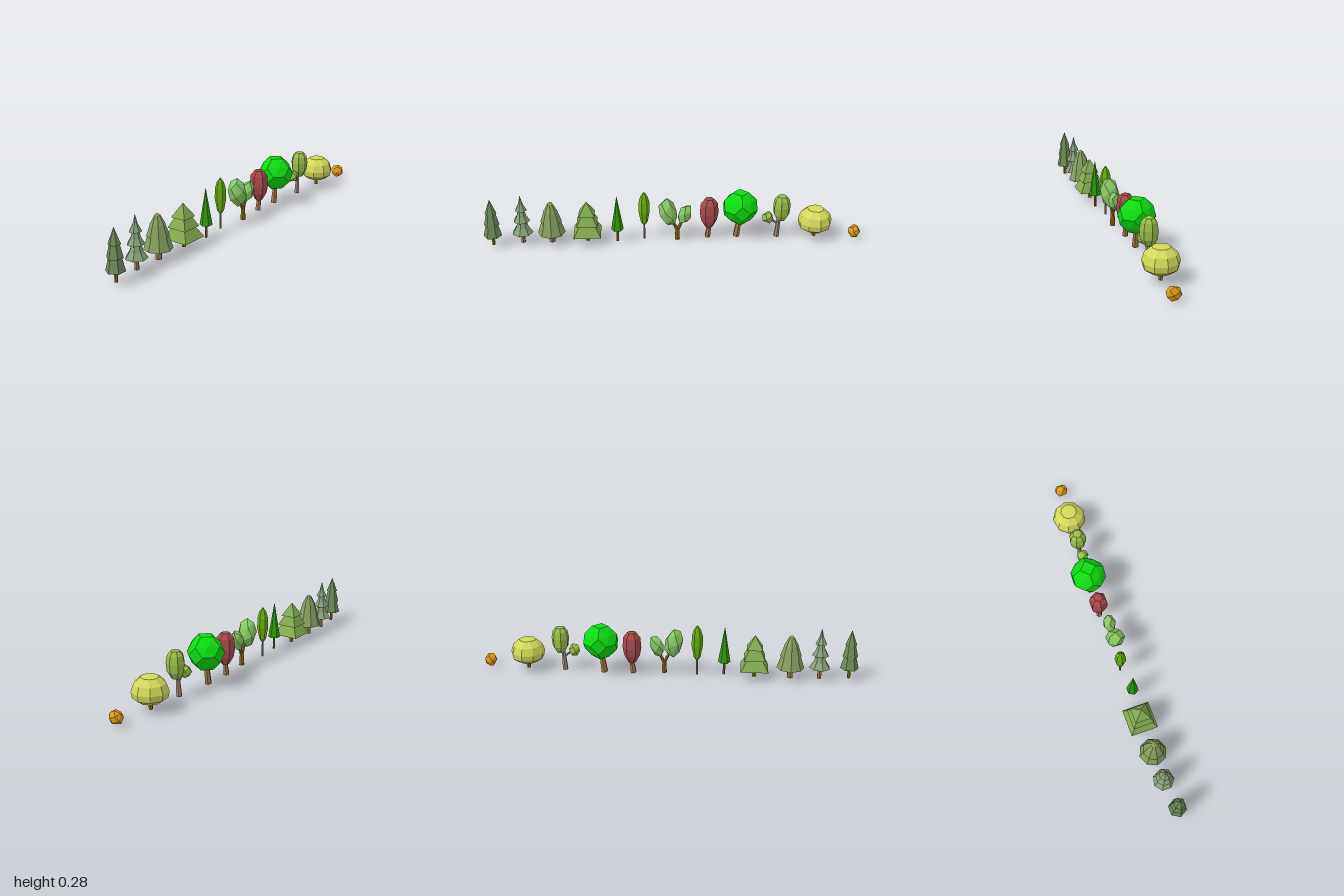
import * as THREE from 'three';
import { ConvexGeometry } from 'three/addons/geometries/ConvexGeometry.js';

const BROWN = 0x8f6a1c, TAN = 0xa07850, GREY = 0xa08a7c;
const V = (p) => new THREE.Vector3(...p);

function part(parent, name, geometry, color) {
  const material = new THREE.MeshStandardMaterial({ color, flatShading: true });
  const mesh = new THREE.Mesh(geometry, material);
  mesh.name = name;
  parent.add(mesh);
  return mesh;
}

// Tapered six-sided limb from point a to point b
function limb(parent, name, a, b, r0, r1, color) {
  const from = V(a), to = V(b), dir = to.clone().sub(from);
  const mesh = part(parent, name, new THREE.CylinderGeometry(r1, r0, dir.length(), 6), color);
  mesh.position.copy(from).add(to).multiplyScalar(0.5);
  mesh.quaternion.setFromUnitVectors(new THREE.Vector3(0, 1, 0), dir.normalize());
}

// Crown turned around a vertical axis; profile is [radius, height] from bottom to top
function turned(parent, name, x, z, profile, sides, color, start = Math.PI / 2) {
  const points = profile.map(([r, y]) => new THREE.Vector2(r, y));
  const mesh = part(parent, name, new THREE.LatheGeometry(points, sides, start), color);
  mesh.position.set(x, 0, z);
}

// Faceted ellipsoid: hull of n points spread on a spiral
function blob(parent, name, centre, radii, n, color, tilt = 0) {
  const points = [];
  for (let i = 0; i < n; i++) {
    const y = 1 - (2 * (i + 0.5)) / n, r = Math.sqrt(1 - y * y), t = i * 2.39996;
    points.push(new THREE.Vector3(r * Math.cos(t), y, r * Math.sin(t)).multiply(V(radii)));
  }
  const mesh = part(parent, name, new ConvexGeometry(points), color);
  mesh.position.set(...centre);
  mesh.rotation.z = tilt;
}

// Round crown: truncated octahedron with raised hexagon centres
function roundCrown(parent, name, centre, radius, color) {
  const points = [];
  const s = [-1, 1];
  for (const a of s) for (const b of s) {
    for (const p of [[0, a, 2 * b], [0, 2 * a, b]]) {
      for (let k = 0; k < 3; k++) points.push(new THREE.Vector3(p[k], p[(k + 1) % 3], p[(k + 2) % 3]));
    }
    for (const c of s) points.push(new THREE.Vector3(a, b, c).multiplyScalar(1.18));
  }
  points.forEach((p) => p.multiplyScalar(radius / 2));
  part(parent, name, new ConvexGeometry(points), color).position.set(...centre);
}

export function createModel() {
  const model = new THREE.Group();
  const tree = (name) => {
    const g = new THREE.Group();
    g.name = name;
    model.add(g);
    return g;
  };

  // Conifers: x, z, trunk and tiered profile
  const conifers = [
    { name: 'slimFir', x: -0.953, z: 0, sides: 6, color: 0x6f8a5a, trunk: BROWN, r: 0.009,
      profile: [[0, 0.065], [0.048, 0.06], [0.029, 0.135], [0.04, 0.125], [0.022, 0.2], [0.031, 0.19], [0, 0.272]] },
    { name: 'paleFir', x: -0.798, z: -0.016, sides: 7, color: 0x88a07c, trunk: TAN, r: 0.012,
      profile: [[0, 0.075], [0.056, 0.065], [0.034, 0.1], [0.02, 0.145], [0.044, 0.135], [0.026, 0.165], [0.014, 0.205],
        [0.031, 0.197], [0.012, 0.235], [0, 0.283]] },
    { name: 'broadFir', x: -0.645, z: -0.016, sides: 8, color: 0x869e60, trunk: TAN, r: 0.017,
      profile: [[0, 0.07], [0.072, 0.06], [0.048, 0.135], [0.056, 0.125], [0.035, 0.19], [0.038, 0.185], [0.014, 0.23], [0, 0.24]] },
    { name: 'squareFir', x: -0.457, z: -0.016, sides: 4, color: 0x82aa50, trunk: BROWN, r: 0.011, square: true,
      profile: [[0, 0.058], [0.072, 0.053], [0.035, 0.12], [0.055, 0.11], [0.025, 0.173], [0.042, 0.163], [0, 0.235]] },
    { name: 'coneTree', x: -0.298, z: 0, sides: 6, color: 0x2f9c08, trunk: BROWN, r: 0.008,
      profile: [[0, 0.08], [0.033, 0.075], [0, 0.272]] },
    { name: 'spindleTree', x: -0.155, z: -0.017, sides: 6, color: 0x68b010, trunk: GREY, r: 0.006,
      profile: [[0, 0.08], [0.018, 0.105], [0.03, 0.17], [0.028, 0.225], [0.018, 0.26], [0, 0.283]] },
  ];
  for (const c of conifers) {
    const g = tree(c.name);
    const k = c.square ? Math.SQRT2 : 1;
    const profile = c.profile.map(([r, y]) => [r * k, y]);
    turned(g, 'foliage', c.x, c.z, profile, c.sides, c.color, c.square ? Math.PI / 4 : Math.PI / 2);
    limb(g, 'trunk', [c.x, 0.005, c.z], [c.x, 0.1, c.z], c.r, c.r * 0.8, c.trunk);
  }

  // Forked tree with two crowns
  const forked = tree('forkedTree');
  limb(forked, 'trunk', [0.02, 0.005, 0], [0.02, 0.07, 0], 0.015, 0.011, BROWN);
  limb(forked, 'leftBranch', [0.02, 0.06, 0], [0.052, 0.125, 0], 0.01, 0.006, BROWN);
  limb(forked, 'rightBranch', [0.02, 0.06, 0], [-0.015, 0.13, 0], 0.01, 0.006, BROWN);
  blob(forked, 'largeCrown', [-0.03, 0.17, 0], [0.049, 0.083, 0.052], 18, 0x86c864, 0.22);
  blob(forked, 'smallCrown', [0.06, 0.152, 0], [0.037, 0.062, 0.036], 16, 0x86c864, -0.35);

  // Red tree
  const red = tree('redTree');
  limb(red, 'trunk', [0.183, 0.005, -0.016], [0.194, 0.09, -0.016], 0.016, 0.011, TAN);
  turned(red, 'foliage', 0.19, -0.016,
    [[0, 0.06], [0.02, 0.065], [0.042, 0.105], [0.05, 0.15], [0.045, 0.205], [0.024, 0.232], [0, 0.236]], 6, 0xa84a4c);

  // Round green tree
  const round = tree('roundTree');
  limb(round, 'trunk', [0.338, 0.005, -0.016], [0.352, 0.11, -0.016], 0.018, 0.013, TAN);
  roundCrown(round, 'foliage', [0.355, 0.177, -0.016], 0.086, 0x0cdc10);

  // Tree with a side crown
  const side = tree('sideCrownTree');
  limb(side, 'trunk', [0.553, 0.005, 0], [0.562, 0.13, 0], 0.015, 0.009, GREY);
  limb(side, 'branch', [0.553, 0.08, 0], [0.512, 0.115, 0], 0.006, 0.004, GREY);
  turned(side, 'mainCrown', 0.574, 0,
    [[0, 0.098], [0.022, 0.104], [0.043, 0.14], [0.047, 0.185], [0.04, 0.222], [0.024, 0.243], [0, 0.247]], 7, 0x9abe48);
  blob(side, 'sideCrown', [0.502, 0.118, 0], [0.032, 0.036, 0.034], 14, 0x9abe48);

  // Yellow dome tree
  const dome = tree('domeTree');
  limb(dome, 'trunk', [0.755, 0.005, 0.008], [0.755, 0.06, 0.008], 0.01, 0.01, BROWN);
  turned(dome, 'foliage', 0.755, 0.008,
    [[0, 0.045], [0.052, 0.045], [0.085, 0.068], [0.091, 0.1], [0.078, 0.138], [0.044, 0.168], [0, 0.172]], 9, 0xd2d85a);

  // Orange bush
  blob(tree('bush'), 'foliage', [0.968, 0.035, 0.029], [0.033, 0.038, 0.038], 18, 0xdc9812);

  return model;
}
